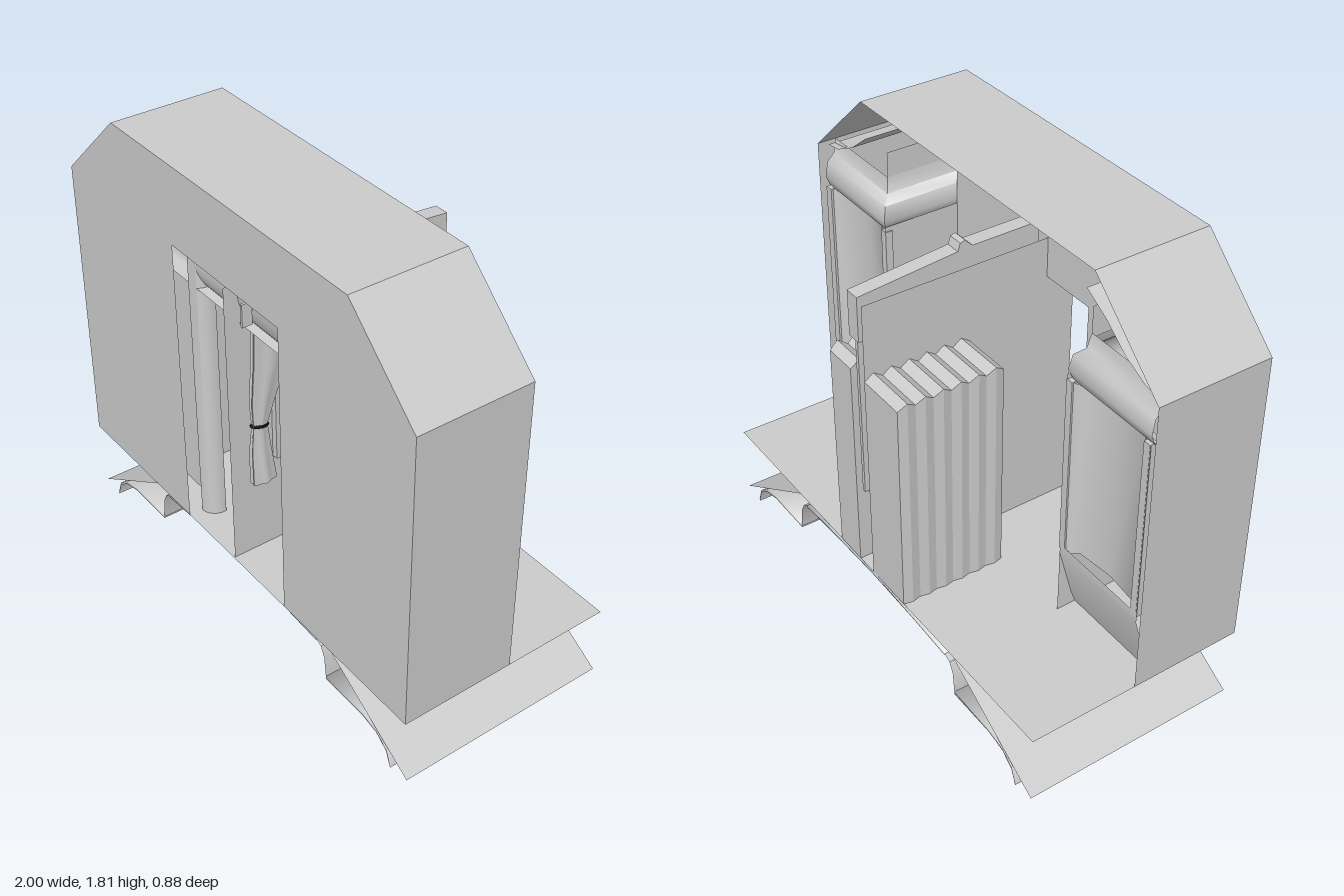
import * as THREE from 'three';
import { toCreasedNormals } from 'three/addons/utils/BufferGeometryUtils.js';

const single = new THREE.MeshStandardMaterial({ color: 0xcccccc });
const grey = new THREE.MeshStandardMaterial({ color: 0xcccccc, side: THREE.DoubleSide });
const black = new THREE.MeshStandardMaterial({ color: 0x111111 });

const FLOOR = 0.305, FRONT = 0.445, MID = -0.01, BACK = -0.44;

export function createModel() {
  const model = new THREE.Group();

  function add(name, geometry, material = grey) {
    const mesh = new THREE.Mesh(geometry, material);
    mesh.name = name;
    model.add(mesh);
    return mesh;
  }

  // Surface through rows of points; normal is column direction x row direction
  function grid(rows, crease = 0.6) {
    const n = rows[0].length, index = [];
    for (let i = 0; i < rows.length - 1; i++) {
      for (let j = 0; j < n - 1; j++) {
        const a = i * n + j, b = a + 1, c = a + n, d = c + 1;
        index.push(a, b, c, b, d, c);
      }
    }
    const g = new THREE.BufferGeometry();
    g.setAttribute('position', new THREE.Float32BufferAttribute(rows.flat(2), 3));
    g.setIndex(index);
    g.computeVertexNormals();
    return toCreasedNormals(g, crease);
  }

  // Thin sheet: an xy profile drawn out along z
  const sheet = (pts, z0, z1) => grid(pts.map(([x, y]) => [[x, y, z0], [x, y, z1]]));

  // Solid strip of small thickness: an xy profile drawn out along z, softly shaded
  function strip(pts, thick, z0, z1) {
    const under = pts.map(([x, y]) => [x, y - thick]).reverse();
    const shape = new THREE.Shape([...pts, ...under].map(p => new THREE.Vector2(...p)));
    const g = new THREE.ExtrudeGeometry(shape, { depth: z1 - z0, bevelEnabled: false });
    return toCreasedNormals(g.translate(0, 0, z0), 1.7);
  }

  function box(name, x0, x1, y0, y1, z0, z1) {
    const m = add(name, new THREE.BoxGeometry(Math.abs(x1 - x0), y1 - y0, z1 - z0), single);
    m.position.set((x0 + x1) / 2, (y0 + y1) / 2, (z0 + z1) / 2);
  }

  // Outer shell: front wall with doorway, and the rim of sides and roof
  const rim = [[1, FLOOR], [1, 1.5], [0.67, 1.81], [-0.67, 1.81], [-1, 1.5], [-1, FLOOR]];
  const doorway = [[-0.31, FLOOR], [-0.31, 1.5], [0.31, 1.5], [0.31, FLOOR]];
  const wall = new THREE.Shape([...rim, ...doorway].map(p => new THREE.Vector2(...p)));
  add('frontWall', new THREE.ShapeGeometry(wall).translate(0, 0, FRONT));
  add('shellRim', sheet(rim, MID, FRONT));
  add('floor', sheet([[-1, FLOOR], [1, FLOOR]], BACK, FRONT));

  // Rounded doorway lining set back from the wall, ending flat in the recess
  const uRow = (w, h, z) => [[-w, FLOOR, z], [-w, h, z], [w, h, z], [w, FLOOR, z]];
  const lining = [];
  for (let i = 0; i <= 8; i++) {
    const a = (i / 8) * Math.PI / 2;
    lining.push(uRow(0.31 - 0.06 * Math.sin(a), 1.5 - 0.18 * Math.sin(a), 0.33 + 0.06 * Math.cos(a)));
  }
  lining.push(uRow(0.25, 1.32, 0.32), uRow(0.55, 1.52, 0.32));
  add('doorLining', grid(lining));
  add('lintelTop', sheet([[-0.31, 1.5], [0.31, 1.5]], 0.32, FRONT));

  // Crown moulding following the walls of the recess
  const crown = [[0.06, 1.32], [0.015, 1.33], [0, 1.37], [0.01, 1.43], [0.04, 1.46], [0.05, 1.52]];
  const route = d => [[0.97, d], [0.55 + d, d], [0.55 + d, 0.32 + d],
    [-0.55 - d, 0.32 + d], [-0.55 - d, d], [-0.97, d]];
  add('crownMoulding', grid(crown.map(([d, y]) => route(d).map(([x, z]) => [x, y, z])), 1.2));

  for (const s of [1, -1]) {
    // Side wall units with recessed panel and undercut kick panel
    add('wallPanel', grid([[0.97, 0], [0.93, 0.01], [0.91, 0.04], [0.76, 0.055], [0.61, 0.04], [0.59, 0.01], [0.55, 0]]
      .map(([x, z]) => [[s * x, 0.6, z], [s * x, 1.33, z]]), 0.9));
    add('kickPanel', grid([[FLOOR, 0.08], [0.36, 0.06], [0.58, 0], [0.62, 0]]
      .map(([y, z]) => [[s * 0.97, y, z], [s * 0.55, y, z]]), 0.3));
    for (const x of [0.95, 0.56]) box('panelStile', s * (x - 0.015), s * (x + 0.015), 0.6, 1.33, 0, 0.03);
    add('recessWall', sheet([[s * 0.55, FLOOR], [s * 0.55, 1.35]], 0, 0.32));
    add('recessUpperWall', sheet([[s * 0.6, 1.5], [s * 0.6, 1.62]], 0.05, 0.34));

    // Curved fairing under the sloping roof
    add('roofFairing', sheet([[0.97, 1.5], [0.9, 1.51], [0.8, 1.56], [0.7, 1.64], [0.6, 1.7]]
      .map(([x, y]) => [s * x, y]), 0.02, 0.34));

    // Lower structure: sloping plate, flange and curved side panel
    add('slopingPlate', sheet([[s * 0.53, FLOOR], [s * 1, 0.02]], BACK, 0.43));
    add('lowerFlange', sheet([[0.48, 0.275], [0.51, 0.26], [0.53, 0.22], [0.54, 0.13]]
      .map(([x, y]) => [s * x, y]), BACK, 0.43));
    add('lowerSidePanel', strip([[0.54, 0.135], [0.75, 0.135], [0.83, 0.118], [0.885, 0.075], [0.91, 0.012]]
      .map(([x, y]) => [s * x, y]), 0.012, BACK, 0.43));
  }
  add('lowerCentrePanel', strip([[-0.48, 0.28], [-0.25, 0.295], [0, 0.302], [0.25, 0.295], [0.48, 0.28]],
    0.012, BACK, 0.43));

  // Pleated blocks behind the shell: open front, zigzag top, pleated outer sides
  const folds = Array.from({ length: 13 }, (_, i) => ({
    z: MID + (BACK - MID) * i / 12, y: i % 2 ? 1.2 : 1.175, bulge: i % 2 ? 0.004 : -0.004
  }));
  for (const [x0, x1] of [[-0.22, -0.01], [0.08, 0.22]]) {
    const edge = x => folds.map(f => [Math.abs(x) > 0.2 ? x + Math.sign(x) * f.bulge : x, f.y, f.z]);
    const left = edge(x0), right = edge(x1).reverse();
    add('pleatedSides', grid([...left, ...right].map(p => [[p[0], FLOOR, p[2]], p]), 0.05), single);
    add('pleatedTop', grid([left.slice().reverse(), right], 0.1), single);
  }

  // Central partition: full depth on its right side, recess only on its left
  const panel = (x, za, zb) => grid([za, zb].map(z => [[x, FLOOR, z], [x, 1.48, z]]));
  add('partition', panel(-0.012, FRONT - 0.005, BACK), single);
  add('partitionLeftFace', panel(-0.01, MID, FRONT - 0.005), single);

  // Header beam along the partition, with a small bracket at the doorway
  const beam = new THREE.Shape([[-0.3, 1.32], [0.44, 1.32], [0.44, 1.5], [0.04, 1.535],
    [0.03, 1.565], [0.01, 1.57], [-0.02, 1.54], [-0.3, 1.54]].map(p => new THREE.Vector2(...p)));
  const beamGeo = new THREE.ExtrudeGeometry(beam, { depth: 0.06, bevelEnabled: false });
  add('headerBeam', beamGeo.rotateY(Math.PI / 2).translate(0.015, 0, 0), single);
  box('beamBracket', 0.075, 0.085, 1.37, 1.46, 0.39, 0.43);

  // Gathered drapes, each pinched by a dark tie; the top spreads to one side in z
  function drape(x, z, tieY, lean) {
    const levels = [[1.32, 0.022, 0.1, 0.08], [1.15, 0.02, 0.075, 0.05], [tieY + 0.1, 0.018, 0.05, 0.015],
      [tieY, 0.013, 0.03, 0], [tieY - 0.1, 0.02, 0.04, 0], [0.65, 0.025, 0.05, 0.01]];
    const rows = levels.map(([y, rx, rz, shift]) => Array.from({ length: 25 }, (_, j) => {
      const a = (j / 24) * Math.PI * 2, r = 1 + 0.12 * Math.cos(6 * a);
      return [x + rx * r * Math.cos(a), y, z + lean * shift + rz * r * Math.sin(a)];
    }));
    add('drape', grid(rows, 1.2));
    const tie = add('drapeTie', new THREE.TorusGeometry(1, 0.2, 6, 20).rotateX(Math.PI / 2 - 0.25), black);
    tie.scale.set(0.016, 0.03, 0.034);
    tie.position.set(x, tieY, z);
  }
  drape(0.03, 0.34, 0.9, -1);
  drape(0.055, -0.38, 0.88, 1);

  // Posts and stepped rail beside the drapes, and a narrow foot strip
  box('partitionPost', 0.015, 0.03, 0.66, 1.3, 0.2, 0.24);
  box('partitionRail', -0.01, 0.015, 0.7, 1.28, 0.22, 0.26);
  box('rearPost', 0.03, 0.045, 0.66, 1.32, -0.435, -0.41);
  add('footStrip', grid([[[0.025, FLOOR, -0.4], [0.035, FLOOR, -0.36]],
    [[0.015, 0.58, -0.4], [0.045, 0.58, -0.34]]]));

  return model;
}
